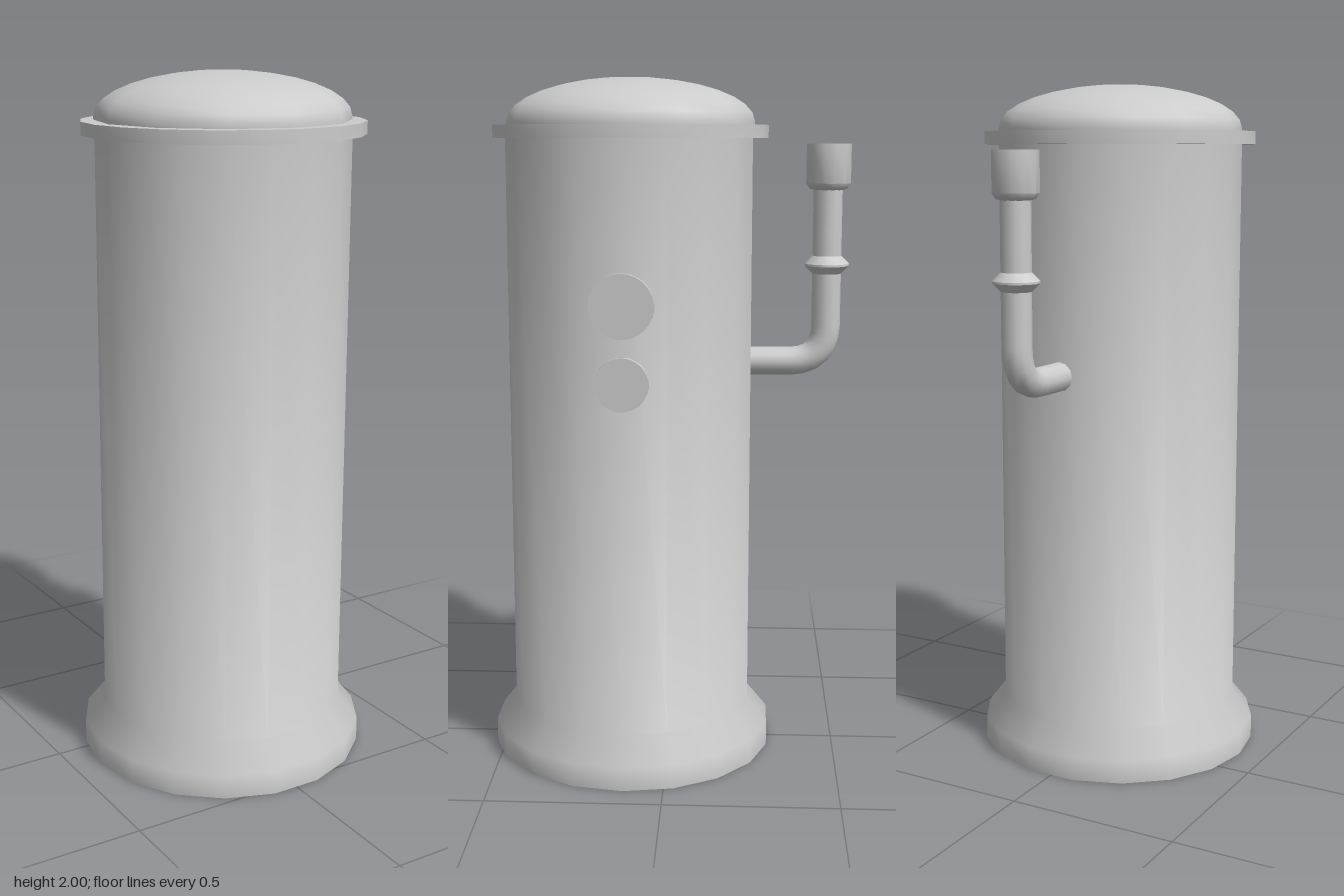
import * as THREE from 'three';
import { toCreasedNormals } from 'three/addons/utils/BufferGeometryUtils.js';

const AXIS_Z = 0.115; // centre line of the tank
const PIPE_Z = -0.459; // centre line of the upright pipe

export function createModel() {
  const group = new THREE.Group();
  const material = new THREE.MeshStandardMaterial({ color: 0xcccccc });

  function add(name, geometry, x = 0, y = 0, z = 0) {
    const mesh = new THREE.Mesh(geometry, material);
    mesh.name = name;
    mesh.position.set(x, y, z);
    group.add(mesh);
    return mesh;
  }

  // Turned part from [radius, height] pairs, bottom to top
  function turned(profile, sides, turn = 0, crease = 0.75) {
    const points = profile.map(([r, y]) => new THREE.Vector2(r, y));
    return toCreasedNormals(new THREE.LatheGeometry(points, sides, turn), crease);
  }

  // Tank with flared foot
  add('tankBody', turned(
    [[0, 0], [0.42, 0], [0.42, 0.07], [0.36, 0.145], [0.36, 1.84], [0, 1.84]],
    18, Math.PI / 18), 0, 0, AXIS_Z);

  // Flat rim under the lid
  add('rim', turned([[0, 1.828], [0.4, 1.828], [0.4, 1.865], [0, 1.865]], 20), 0, 0, AXIS_Z);

  // Domed lid
  const dome = [[0.36, 1.86]];
  for (let i = 0; i <= 8; i++) {
    const a = (i / 8) * Math.PI / 2;
    dome.push([i === 8 ? 0 : 0.36 * Math.cos(a), 1.875 + 0.125 * Math.sin(a)]);
  }
  add('lid', turned(dome, 12), 0, 0, AXIS_Z);

  // Round gauges on the left side
  for (const [name, y, r] of [['largeGauge', 1.38, 0.09], ['smallGauge', 1.165, 0.075]]) {
    add(name, new THREE.CylinderGeometry(r, r, 0.05, 32), 0.347, y, AXIS_Z).rotation.z = -Math.PI / 2;
  }

  // Bent pipe at the back
  const p = (y, z) => new THREE.Vector3(0, y, z);
  const path = new THREE.CurvePath();
  path.add(new THREE.LineCurve3(p(1.18, -0.2), p(1.18, -0.35)));
  path.add(new THREE.QuadraticBezierCurve3(p(1.18, -0.35), p(1.18, PIPE_Z), p(1.29, PIPE_Z)));
  path.add(new THREE.LineCurve3(p(1.29, PIPE_Z), p(1.72, PIPE_Z)));
  add('pipe', new THREE.TubeGeometry(path, 28, 0.042, 12));

  // Pipe collar and mouth
  add('pipeCollar', turned([[0.04, 1.437], [0.065, 1.462], [0.065, 1.468], [0.04, 1.493]], 12),
    0, 0, PIPE_Z);
  add('pipeMouth', turned(
    [[0.04, 1.68], [0.055, 1.685], [0.065, 1.7], [0.065, 1.812], [0, 1.812]],
    11, -Math.PI / 2), 0, 0, PIPE_Z);

  return group;
}
